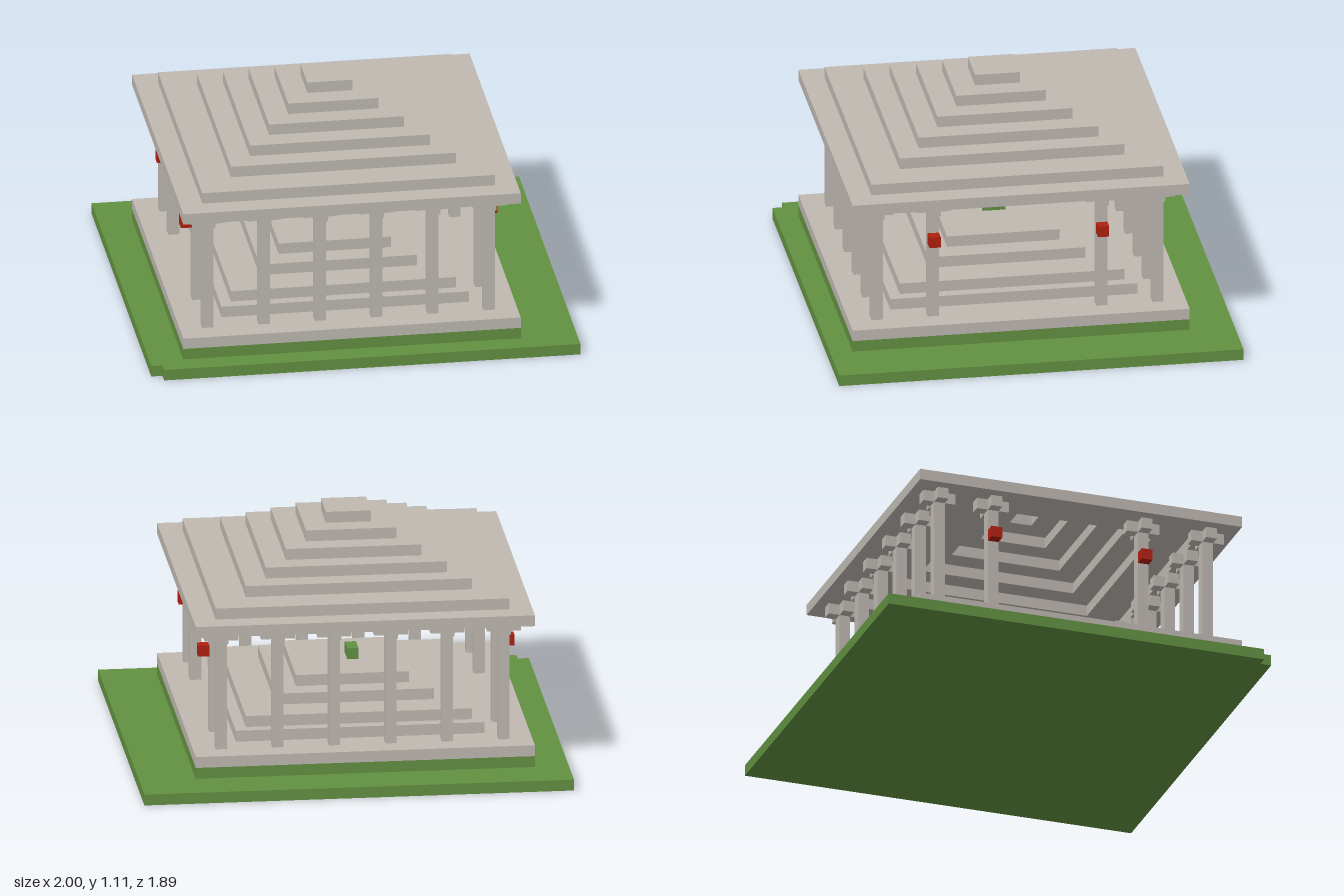
import * as THREE from 'three';

const U = 2 / 38;      // one block
const CX = -1, CZ = 1; // pavilion centre, in blocks

export function createModel() {
  const model = new THREE.Group();
  model.name = 'pavilion';
  const stone = new THREE.MeshStandardMaterial({ name: 'stone', color: 0xbfb9b2 });
  const grass = new THREE.MeshStandardMaterial({ name: 'grass', color: 0x629142 });
  const red = new THREE.MeshStandardMaterial({ name: 'red', color: 0xb0200f });

  const add = (name, geo, mat) => {
    const mesh = new THREE.Mesh(geo, mat);
    mesh.name = name;
    model.add(mesh);
    return mesh;
  };
  // Box from its centre (x, z), bottom y and size, all in blocks
  const box = (name, mat, x, y, z, w, h, d) => {
    const mesh = add(name, new THREE.BoxGeometry(w * U, h * U, d * U), mat);
    mesh.position.set(x * U, (y + h / 2) * U, z * U);
    return mesh;
  };
  // Flat outline in (x, -z), raised by a number of blocks
  const raise = (shape, h) =>
    new THREE.ExtrudeGeometry(shape, { depth: h * U, bevelEnabled: false }).rotateX(-Math.PI / 2);
  const outline = (pts, Type = THREE.Shape) =>
    new Type(pts.map(([x, z]) => new THREE.Vector2(x * U, -z * U)));
  const square = (r) => [[-r, -r], [-r, r], [r, r], [r, -r]];

  // Lawn with one corner block left out
  add('lawn', raise(outline([[-19, -18], [-19, 17], [-18, 17], [-18, 18], [19, 18], [19, -18]]), 1), grass);

  // Plinth
  box('plinthBase', grass, CX, 1, CZ, 30, 1, 30);
  box('plinthFloor', stone, CX, 2, CZ, 30, 1, 30);

  // Stepped platform inside, with a small plant on top
  [11, 10, 7, 5].forEach((r, i) => box('platformStep', stone, CX, 3 + i, CZ, 2 * r, 1, 2 * r));
  box('plant', grass, -1.5, 7, 1, 1, 1, 2);

  // Columns with cross-shaped capitals
  const cross = outline([[-1.5, -0.5], [-1.5, 0.5], [-0.5, 0.5], [-0.5, 1.5], [0.5, 1.5], [0.5, 0.5],
    [1.5, 0.5], [1.5, -0.5], [0.5, -0.5], [0.5, -1.5], [-0.5, -1.5], [-0.5, -0.5]]);
  const column = (x, z) => {
    box('column', stone, x, 3, z, 1, 10, 1);
    add('capital', raise(cross, 1), stone).position.set(x * U, 13 * U, z * U);
  };
  for (let i = 0; i < 6; i++) {
    column(-13.5 + 5 * i, 13.5);
    column(-13.5 + 5 * i, -11.5);
  }
  // Side columns, each with a lantern on its outer face
  for (const [side, z] of [[1, 8.5], [1, -6.5], [-1, 7.5], [-1, -6.5]]) {
    column(CX + side * 12.5, z);
    box('lantern', red, CX + side * 13.5, 10, z, 1, 1, 1);
  }

  // Hollow stepped roof: square rings closed by a cap
  const tiers = [15, 13, 10, 8, 6, 4, 2];
  tiers.forEach((r, i) => {
    const shape = outline(square(r));
    if (i < tiers.length - 1) shape.holes.push(outline(square(tiers[i + 1] - 1), THREE.Path));
    add('roofTier', raise(shape, 1), stone).position.set(CX * U, (14 + i) * U, CZ * U);
  });

  return model;
}
